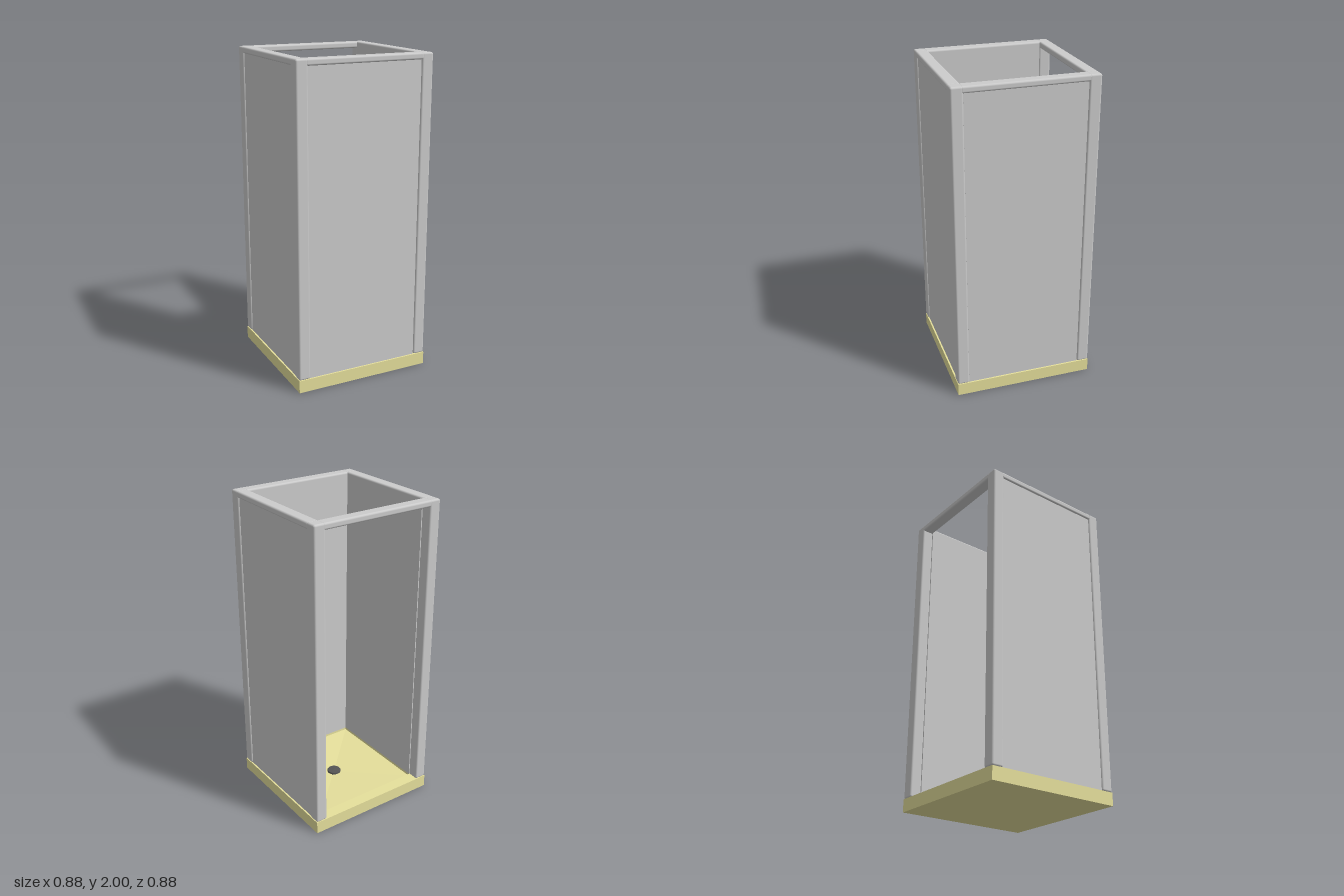
import * as THREE from 'three';
import { RoundedBoxGeometry } from 'three/addons/geometries/RoundedBoxGeometry.js';

const HALF = 0.44;    // outer half width
const INNER = 0.365;  // half width of the clear inside
const BASE = 0.08;    // tray height
const TOP = 2;
const POST = HALF - INNER;
const MID = (HALF + INNER) / 2;

export function createModel() {
  const model = new THREE.Group();
  const grey = new THREE.MeshStandardMaterial({ color: 0xcccccc });
  const cream = new THREE.MeshStandardMaterial({ color: 0xe6e09c });
  const creamFloor = new THREE.MeshStandardMaterial({ color: 0xe6e09c, side: THREE.DoubleSide, flatShading: true });
  const dark = new THREE.MeshStandardMaterial({ color: 0x555555 });

  const add = (parent, name, geometry, material, x = 0, y = 0, z = 0) => {
    const mesh = new THREE.Mesh(geometry, material);
    mesh.name = name;
    mesh.position.set(x, y, z);
    parent.add(mesh);
    return mesh;
  };

  // Tray: square rim around a shallow floor
  const square = (Path, h) => new Path([
    new THREE.Vector2(-h, -h), new THREE.Vector2(h, -h),
    new THREE.Vector2(h, h), new THREE.Vector2(-h, h),
  ]);
  const rimShape = square(THREE.Shape, HALF);
  rimShape.holes.push(square(THREE.Path, INNER));
  const rim = new THREE.ExtrudeGeometry(rimShape, { depth: BASE, bevelEnabled: false });
  rim.rotateX(-Math.PI / 2);
  add(model, 'trayRim', rim, cream);
  add(model, 'trayBottom', new THREE.BoxGeometry(2 * INNER, 0.03, 2 * INNER), cream, 0, 0.015, 0);

  // Four-sided floor sloping down to the drain
  const floor = new THREE.CylinderGeometry(INNER * Math.SQRT2, 0.05, 0.02, 4, 1, true);
  floor.rotateY(Math.PI / 4);
  add(model, 'trayFloor', floor, creamFloor, 0, 0.055, 0);

  // Drain: domed cover on a short collar
  const drainProfile = [[0.045, 0.03], [0.045, 0.054], [0.042, 0.058], [0.038, 0.056], [0, 0.06]]
    .map(([r, y]) => new THREE.Vector2(r, y));
  add(model, 'drain', new THREE.LatheGeometry(drainProfile, 32), dark);

  // Corner posts
  const postHeight = TOP - BASE;
  const postGeometry = new RoundedBoxGeometry(POST, postHeight, POST, 4, 0.012);
  for (const x of [-MID, MID]) {
    for (const z of [-MID, MID]) {
      add(model, 'cornerPost', postGeometry, grey, x, BASE + postHeight / 2, z);
    }
  }

  // Top rails on all four sides, wall panels on all but the open back
  const railHeight = 0.04;
  const railGeometry = new RoundedBoxGeometry(2 * INNER + 0.03, railHeight, POST, 4, 0.012);
  const panelDepth = POST - 0.01;
  const panelHeight = TOP - BASE - railHeight / 2;
  const panelGeometry = new THREE.BoxGeometry(2 * INNER, panelHeight, panelDepth);
  ['front', 'left', 'back', 'right'].forEach((name, i) => {
    const side = new THREE.Group();
    side.name = name + 'Side';
    side.rotation.y = i * Math.PI / 2;
    add(side, 'topRail', railGeometry, grey, 0, TOP - railHeight / 2, MID);
    if (name !== 'back') {
      add(side, 'wallPanel', panelGeometry, grey, 0, BASE + panelHeight / 2, INNER + panelDepth / 2);
    }
    model.add(side);
  });

  return model;
}
